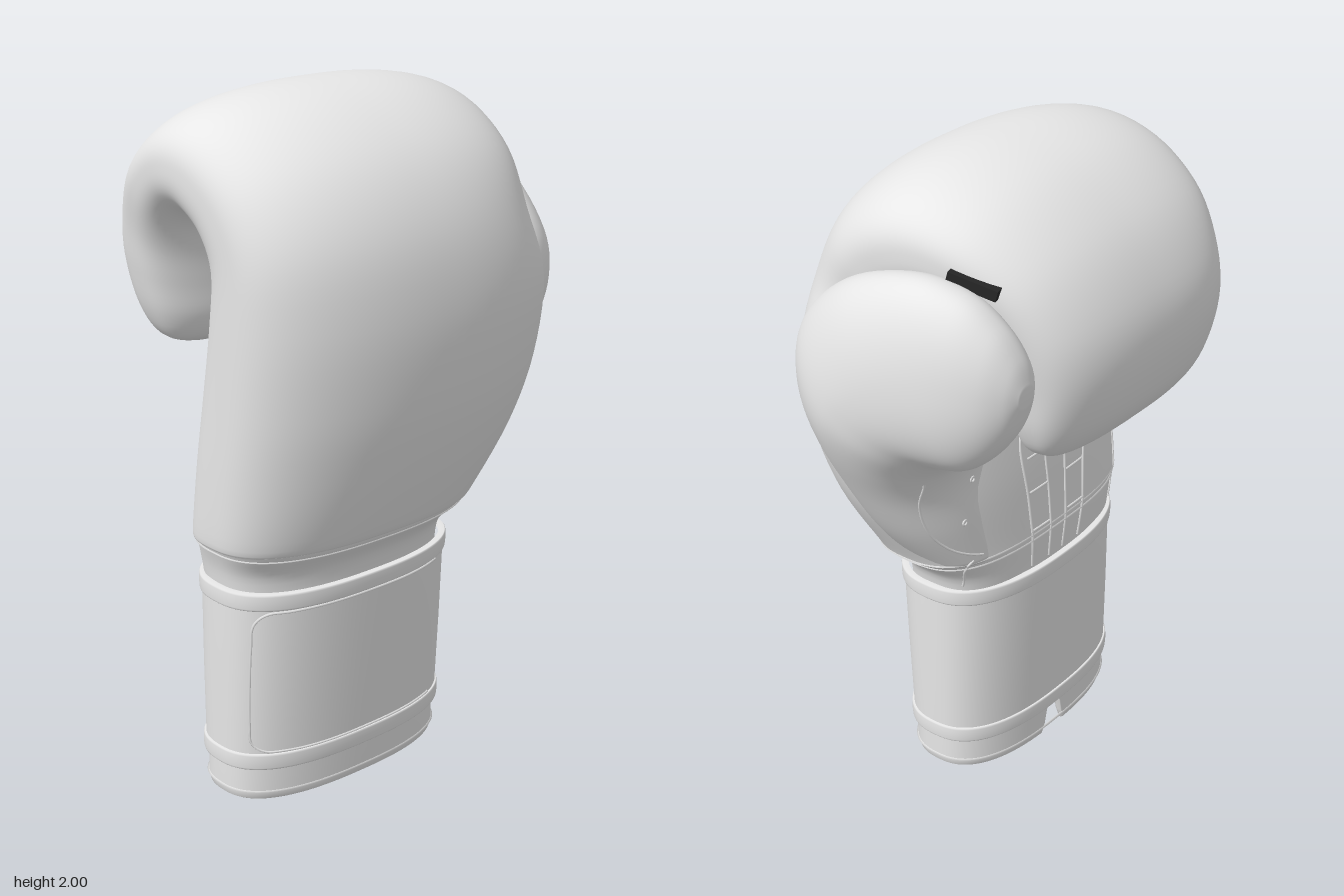
import * as THREE from 'three';

const mat = (name, color) => {
  const m = new THREE.MeshStandardMaterial({ color });
  m.name = name;
  return m;
};

// Smooth extra rows between the given rows (Catmull-Rom, column by column).
function refine(rows, steps) {
  const out = [];
  const at = i => rows[Math.max(0, Math.min(rows.length - 1, i))];
  for (let i = 0; i < rows.length - 1; i++) {
    for (let k = 0; k < steps; k++) {
      const t = k / steps;
      out.push(rows[i].map((b, c) => {
        const a = at(i - 1)[c], d = at(i + 1)[c], e = at(i + 2)[c];
        return b + 0.5 * t * (d - a + t * (2 * a - 5 * b + 4 * d - e + t * (3 * (b - d) + e - a)));
      }));
    }
  }
  out.push(rows[rows.length - 1]);
  return out;
}

// Loft of superellipse sections.
// Row: outer z, outer y, inner z, inner y, min x, max x, power of the outer half (optional).
function loft(rows, power, { steps = 1, seg = 96, caps = true } = {}) {
  const R = refine(rows, steps), pos = [], idx = [];
  for (const [oz, oy, iz, iy, xl, xr, outer = power] of R) {
    for (let j = 0; j < seg; j++) {
      const a = j / seg * Math.PI * 2, c = Math.cos(a), s = Math.sin(a), e = s > 0 ? outer : power;
      const r = Math.pow(Math.abs(c) ** e + Math.abs(s) ** e, -1 / e);
      pos.push((xl + xr) / 2 + (xr - xl) / 2 * c * r,
        (oy + iy) / 2 + (oy - iy) / 2 * s * r,
        (oz + iz) / 2 + (oz - iz) / 2 * s * r);
    }
  }
  const n = R.length, top = (n - 1) * seg;
  for (let j = 0; j < seg; j++) {
    const k = (j + 1) % seg;
    for (let i = 0; i < n - 1; i++) {
      const a = i * seg + j, b = i * seg + k;
      idx.push(a, a + seg, b, b, a + seg, b + seg);
    }
    if (caps) idx.push(n * seg, j, k, n * seg + 1, top + k, top + j);
  }
  if (caps) {
    for (const [oz, oy, iz, iy, xl, xr] of [R[0], R[n - 1]]) pos.push((xl + xr) / 2, (oy + iy) / 2, (oz + iz) / 2);
  }
  const g = new THREE.BufferGeometry();
  g.setAttribute('position', new THREE.Float32BufferAttribute(pos, 3));
  g.setIndex(idx);
  g.computeVertexNormals();
  return g;
}

// Horizontal section of the wrist, grown by d.
const wrist = (y, d = 0) => {
  const t = Math.min(1, y / 0.66);
  return [0.255 + 0.04 * t + d, y, -0.108 - 0.008 * t - d, y, -0.55 - 0.005 * t - d, 0.208 + 0.006 * t + d];
};

export function createModel() {
  const glove = new THREE.Group();
  glove.name = 'boxingGlove';
  const leather = mat('leather', 0xeaeaea);
  const dark = mat('darkStrap', 0x262626);
  const add = (name, geo, m = leather) => {
    const mesh = new THREE.Mesh(geo, m);
    mesh.name = name;
    glove.add(mesh);
    return mesh;
  };

  // Padded mitt: hand pocket, then from the wrist over the knuckles down to the curled finger tips
  const neckLow = [0.325, 0.765, -0.115, 0.765, -0.575, 0.28, 2.5];
  const neckHigh = [0.335, 0.785, -0.115, 0.785, -0.585, 0.30, 2.5];
  const mitt = add('mitt', loft([
    [0.20, 1.15, -0.02, 1.15, -0.42, 0.10, 2.5],
    [0.25, 0.75, -0.08, 0.75, -0.52, 0.17, 2.5],
    [0.26, 0.61, -0.09, 0.61, -0.53, 0.19, 2.5],
    [0.27, 0.60, -0.10, 0.60, -0.54, 0.20, 2.5],
    [0.28, 0.70, -0.11, 0.70, -0.555, 0.22, 2.5],
    neckLow,
    neckHigh,
    [0.36, 0.81, -0.115, 0.80, -0.597, 0.31, 2.4],
    [0.43, 1.00, -0.10, 1.00, -0.60, 0.41, 2.25],
    [0.48, 1.20, -0.07, 1.20, -0.60, 0.46, 2.2],
    [0.50, 1.44, -0.03, 1.40, -0.60, 0.465, 2.2],
    [0.465, 1.66, 0.00, 1.53, -0.60, 0.405, 2.2],
    [0.36, 1.84, -0.03, 1.60, -0.60, 0.41, 2.25],
    [0.19, 1.96, -0.08, 1.63, -0.597, 0.415, 2.3],
    [0.00, 2.00, -0.11, 1.63, -0.588, 0.41, 2.35],
    [-0.20, 1.955, -0.14, 1.61, -0.57, 0.395, 2.4],
    [-0.37, 1.83, -0.165, 1.57, -0.55, 0.365, 2.5],
    [-0.47, 1.67, -0.18, 1.50, -0.52, 0.335, 2.6],
    [-0.50, 1.52, -0.19, 1.41, -0.50, 0.31, 2.6],
    [-0.47, 1.36, -0.20, 1.32, -0.47, 0.285, 2.6],
    [-0.415, 1.265, -0.235, 1.25, -0.42, 0.24, 2.6],
    [-0.36, 1.225, -0.29, 1.222, -0.33, 0.15, 2.6],
  ], 2.9, { steps: 5 }));

  // Thumb: grows smoothly out of the side of the mitt and bends backwards
  const thumb = add('thumb', loft([
    [0.20, 0.78, -0.09, 0.78, -0.05, 0.28, 2],
    [0.26, 0.92, -0.085, 0.92, -0.04, 0.385, 1.9],
    [0.32, 1.10, -0.08, 1.06, -0.02, 0.475, 1.8],
    [0.37, 1.28, -0.10, 1.15, 0.01, 0.545, 1.75],
    [0.39, 1.43, -0.14, 1.21, 0.05, 0.585, 1.75],
    [0.335, 1.565, -0.18, 1.245, 0.12, 0.597, 1.85],
    [0.15, 1.71, -0.22, 1.265, 0.23, 0.597, 2],
    [-0.08, 1.787, -0.26, 1.285, 0.30, 0.585, 2.1],
    [-0.24, 1.775, -0.30, 1.31, 0.325, 0.56, 2.2],
    [-0.34, 1.71, -0.345, 1.355, 0.335, 0.525, 2.2],
    [-0.395, 1.63, -0.385, 1.42, 0.35, 0.48, 2.2],
    [-0.415, 1.56, -0.41, 1.50, 0.38, 0.44, 2.2],
  ], 2.2, { steps: 6 }));

  // Short dark strap joining thumb and mitt
  const strap = add('thumbStrap', new THREE.BoxGeometry(0.04, 0.03, 0.14), dark);
  strap.position.set(0.38, 1.778, -0.222);
  strap.rotation.set(-0.24, 0.29, 0, 'YXZ');

  // Open sleeve with wall thickness, notched at the back of its lower rim
  const slitX = -0.145;
  const sleeveGeo = loft([wrist(0.62, -0.02), wrist(0.13, -0.02), wrist(0.03, -0.02), wrist(0.006, -0.016),
    wrist(0, -0.008), wrist(0.006, 0), wrist(0.03, 0.004), wrist(0.13, 0), wrist(0.6, 0)], 2.5,
  { seg: 240, caps: false });
  const p = sleeveGeo.attributes.position;
  for (let i = 0; i < p.count; i++) {
    const d = Math.abs(p.getX(i) - slitX) / 0.05;
    if (p.getZ(i) < 0 && d < 1) p.setY(i, Math.max(p.getY(i), 0.115 * (1 - d ** 4)));
  }
  sleeveGeo.computeVertexNormals();
  add('sleeve', sleeveGeo);

  // Wrist wrap shell with a raised flat trim band on each edge
  const shell = (name, y0, y1, d) => add(name, loft([wrist(y0, -0.004), wrist(y0, d - 0.002), wrist(y0 + 0.002, d),
    wrist(y0 + 0.006, d + 0.001), wrist((y0 + y1) / 2, d + 0.002), wrist(y1 - 0.006, d + 0.001),
    wrist(y1 - 0.002, d), wrist(y1, d - 0.002), wrist(y1, -0.004)], 2.5, { caps: false }));
  const wrap = shell('wristWrap', 0.12, 0.65, 0.008);
  shell('lowerTrimBand', 0.108, 0.158, 0.015);
  shell('upperTrimBand', 0.612, 0.662, 0.015);

  // Thin stitched rings around sleeve and neck
  const ring = (y, row, power) => {
    const r = (h, d) => [row[0] + d, y + h, row[2] - d, y + h, row[4] - d, row[5] + d, 2.5];
    add('stitchRing', loft([r(-0.004, -0.002), r(0, 0.005), r(0.004, -0.002)], power, { caps: false }));
  };
  ring(0.03, wrist(0.03, 0.004), 2.5);
  ring(neckLow[1], neckLow, 2.9);
  ring(neckHigh[1], neckHigh, 2.9);

  // Points dropped onto the surfaces along one axis
  glove.updateMatrixWorld(true);
  const ray = new THREE.Raycaster();
  const views = {
    front: [(u, v) => new THREE.Vector3(u, v, 1), new THREE.Vector3(0, 0, -1)],
    palm: [(u, v) => new THREE.Vector3(u, v, -0.18), new THREE.Vector3(0, 0, 1)],
    side: [(u, v) => new THREE.Vector3(1, v, u), new THREE.Vector3(-1, 0, 0)],
  };
  const drop = (view, u, v) => {
    const [from, dir] = views[view];
    ray.set(from(u, v), dir);
    const hit = ray.intersectObjects([mitt, thumb, wrap])[0];
    return hit ? hit.point.addScaledVector(dir, -0.001) : null;
  };
  const seam = (name, view, pts, count = 30) => {
    const path = new THREE.CatmullRomCurve3(pts.map(([u, v]) => new THREE.Vector3(u, v, 0)));
    const on = path.getSpacedPoints(count).map(q => drop(view, q.x, q.y)).filter(Boolean);
    if (on.length > 2) add(name, new THREE.TubeGeometry(new THREE.CatmullRomCurve3(on), on.length * 2, 0.004, 5));
  };

  // Rounded end of the wrap on the front
  seam('wrapEndSeam', 'front', [[0.1, 0.605], [-0.44, 0.605], [-0.5, 0.6], [-0.525, 0.57], [-0.53, 0.5], [-0.53, 0.25],
    [-0.525, 0.19], [-0.5, 0.167], [-0.44, 0.163], [0.1, 0.163]], 70);

  // Thumb seams
  seam('thumbSeam', 'side', [[-0.07, 1.15], [-0.035, 1.06], [-0.03, 0.95], [-0.05, 0.87], [-0.085, 0.81]]);
  seam('thumbBaseSeam', 'side', [[-0.02, 0.68], [-0.04, 0.74], [-0.075, 0.8]], 12);

  // Stitched lacing panels around the palm opening
  for (const [w, h] of [[0.045, 1.11], [0.15, 1.18]]) {
    seam('lacePanelSeam', 'palm', [[-w * 0.75, 0.67], [-w * 0.9, 0.9], [-w, h - 0.07], [-w * 0.7, h - 0.015], [0, h],
      [w * 0.7, h - 0.015], [w, h - 0.07], [w * 0.9, 0.9], [w * 0.75, 0.67]].map(([x, y]) => [slitX + x, y]), 60);
  }
  for (const s of [-1, 1]) {
    for (const y of [0.8, 0.93, 1.04]) {
      seam('laceStitch', 'palm', [[slitX + s * 0.045, y], [slitX + s * 0.13, y]], 6);
    }
  }

  // Padding edge, grip bar and vents of the palm
  seam('paddingSeam', 'palm', [[-0.47, 0.69], [-0.515, 0.85], [-0.525, 1.1], [-0.52, 1.35], [-0.5, 1.48]]);
  for (const y of [1.23, 1.33]) seam('gripSeam', 'palm', [[-0.44, y], [-0.13, y + 0.01], [0.14, y]], 20);
  for (const [x, y] of [[-0.32, 1.28], [-0.2, 1.285], [-0.08, 1.285], [0.04, 1.28], [0.22, 1.08], [0.25, 0.95]]) {
    const q = drop('palm', x, y);
    if (q) add('vent', new THREE.TorusGeometry(0.008, 0.003, 6, 14)).position.copy(q);
  }
  return glove;
}
